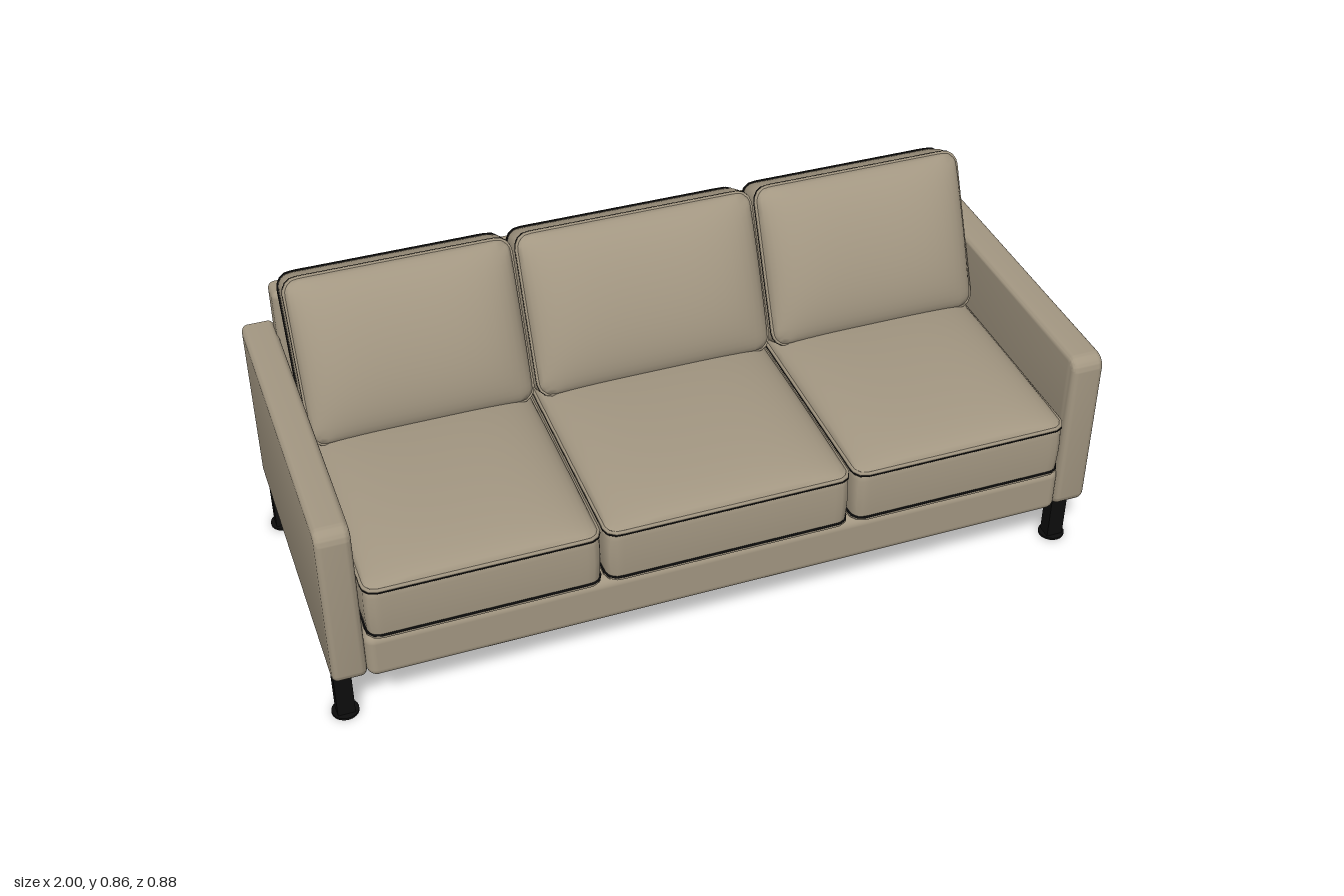
import * as THREE from 'three';
import { mergeVertices, toCreasedNormals } from 'three/addons/utils/BufferGeometryUtils.js';
import { RoundedBoxGeometry } from 'three/addons/geometries/RoundedBoxGeometry.js';

const fabric = new THREE.MeshStandardMaterial({ color: 0xa39782 });
fabric.name = 'beige fabric';
const black = new THREE.MeshStandardMaterial({ color: 0x0c0c0c });
black.name = 'black metal';

function add(parent, name, geometry, material, x = 0, y = 0, z = 0) {
  const mesh = new THREE.Mesh(geometry, material);
  mesh.name = name;
  mesh.position.set(x, y, z);
  parent.add(mesh);
  return mesh;
}

// Maps a point of the square [-1, 1] onto a rectangle with rounded corners
function roundedPoint(u, v, w, h, r) {
  const x = u * w / 2, y = v * h / 2;
  const ex = Math.abs(x) - (w / 2 - r), ey = Math.abs(y) - (h / 2 - r);
  if (ex <= 0 || ey <= 0) return [x, y];
  const k = Math.max(ex, ey) / Math.hypot(ex, ey);
  return [Math.sign(x) * (w / 2 - r + ex * k), Math.sign(y) * (h / 2 - r + ey * k)];
}

// Closed cord that follows the cushion outline
function seamGeometry(w, h, r, radius) {
  const points = [], sides = [[1, 0], [0, 1], [-1, 0], [0, -1]];
  for (const [a, b] of sides) {
    for (let i = 0; i < 16; i++) {
      const s = Math.sin((i / 16 - 0.5) * Math.PI);
      const [x, y] = roundedPoint(a - b * s, b + a * s, w, h, r);
      points.push(new THREE.Vector3(x, y, 0));
    }
  }
  return new THREE.TubeGeometry(new THREE.CatmullRomCurve3(points, true), 128, radius, 6, true);
}

// Boxed cushion, thickness along z, with a separate crown for front and back
function cushion(name, w, h, d, r, crownFront, crownBack, bulge) {
  const group = new THREE.Group();
  group.name = name;
  const geo = new THREE.BoxGeometry(2, 2, 2, 24, 24, 6);
  const p = geo.attributes.position;
  for (let i = 0; i < p.count; i++) {
    const u = Math.sin(p.getX(i) * Math.PI / 2), v = Math.sin(p.getY(i) * Math.PI / 2), t = p.getZ(i);
    const grow = 2 * bulge * (1 - t * t);
    const [x, y] = roundedPoint(u, v, w + grow, h + grow, r);
    const puff = Math.sqrt(Math.max(0, (1 - u ** 4) * (1 - v * v)));
    const crown = Math.abs(t) > 0.999 ? puff * (t > 0 ? crownFront : -crownBack) : 0;
    p.setXYZ(i, x, y, t * d / 2 + crown);
  }
  geo.deleteAttribute('uv');
  geo.deleteAttribute('normal');
  add(group, 'cushionBody', toCreasedNormals(mergeVertices(geo, 1e-5), 0.9), fabric);
  for (const s of [-1, 1]) {
    add(group, 'piping', seamGeometry(w, h, r, 0.005), fabric, 0, 0, s * d / 2);
    add(group, 'seam', seamGeometry(w + 0.004, h + 0.004, r, 0.003), black, 0, 0, s * (d / 2 - 0.005));
  }
  return group;
}

// Arm panel: side outline with rounded front corners, softened edges
function armGeometry() {
  const b = 0.016, r = 0.02;
  const z0 = -0.44 + b, z1 = 0.424 - b, y0 = 0.163 + b, y1 = 0.632 - b;
  const s = new THREE.Shape();
  s.moveTo(z0, y0);
  s.lineTo(z1 - r, y0);
  s.absarc(z1 - r, y0 + r, r, -Math.PI / 2, 0, false);
  s.lineTo(z1, y1 - r);
  s.absarc(z1 - r, y1 - r, r, 0, Math.PI / 2, false);
  s.lineTo(z0, y1);
  s.closePath();
  const geo = new THREE.ExtrudeGeometry(s, {
    depth: 0.085 - 2 * b, bevelThickness: b, bevelSize: b, bevelSegments: 5, curveSegments: 6,
  });
  geo.translate(0, 0, -(0.085 - 2 * b) / 2);
  geo.rotateY(-Math.PI / 2);
  return toCreasedNormals(geo, 0.6);
}

export function createModel() {
  const sofa = new THREE.Group();
  sofa.name = 'sofa';

  // Frame: base, front rail and back panel
  add(sofa, 'base', new THREE.BoxGeometry(1.83, 0.135, 0.8), fabric, 0, 0.2335, -0.02);
  add(sofa, 'frontRail', new RoundedBoxGeometry(1.82, 0.132, 0.12, 5, 0.025), fabric, 0, 0.231, 0.368);
  add(sofa, 'backPanel', new RoundedBoxGeometry(1.83, 0.594, 0.075, 5, 0.018), fabric, 0, 0.46, -0.4);

  // Arms
  const arm = armGeometry();
  add(sofa, 'leftArm', arm, fabric, 0.9525, 0, 0);
  add(sofa, 'rightArm', arm, fabric, -0.9525, 0, 0);

  // Three seat cushions and three leaning back cushions
  const places = [['right', -0.614, 0.57], ['middle', 0, 0.626], ['left', 0.614, 0.57]];
  for (const [side, x, w] of places) {
    const seat = cushion(side + 'SeatCushion', w, 0.675, 0.143, 0.03, 0.052, 0, 0.003);
    seat.rotation.x = -Math.PI / 2;
    seat.position.set(x, 0.374, 0.0975);
    sofa.add(seat);

    const back = cushion(side + 'BackCushion', w, 0.42, 0.1, 0.035, 0.073, 0.03, 0.004);
    back.rotation.x = -0.418;
    back.position.set(x, 0.643, -0.231);
    sofa.add(back);
  }

  // Four corner legs with foot plates
  for (const x of [-0.965, 0.965]) {
    for (const z of [0.342, -0.4]) {
      const leg = new THREE.Group();
      leg.name = z > 0 ? 'frontLeg' : 'backLeg';
      leg.position.set(x, 0, z);
      add(leg, 'post', new THREE.BoxGeometry(0.044, 0.165, 0.038), black, 0, 0.0855, 0);
      add(leg, 'footPlate', new THREE.CylinderGeometry(0.034, 0.034, 0.006, 20), black, 0, 0.003, 0);
      sofa.add(leg);
    }
  }

  // Block under the middle
  add(sofa, 'centreSupport', new THREE.BoxGeometry(0.075, 0.085, 0.082), black, -0.003, 0.1265, -0.03);

  return sofa;
}
